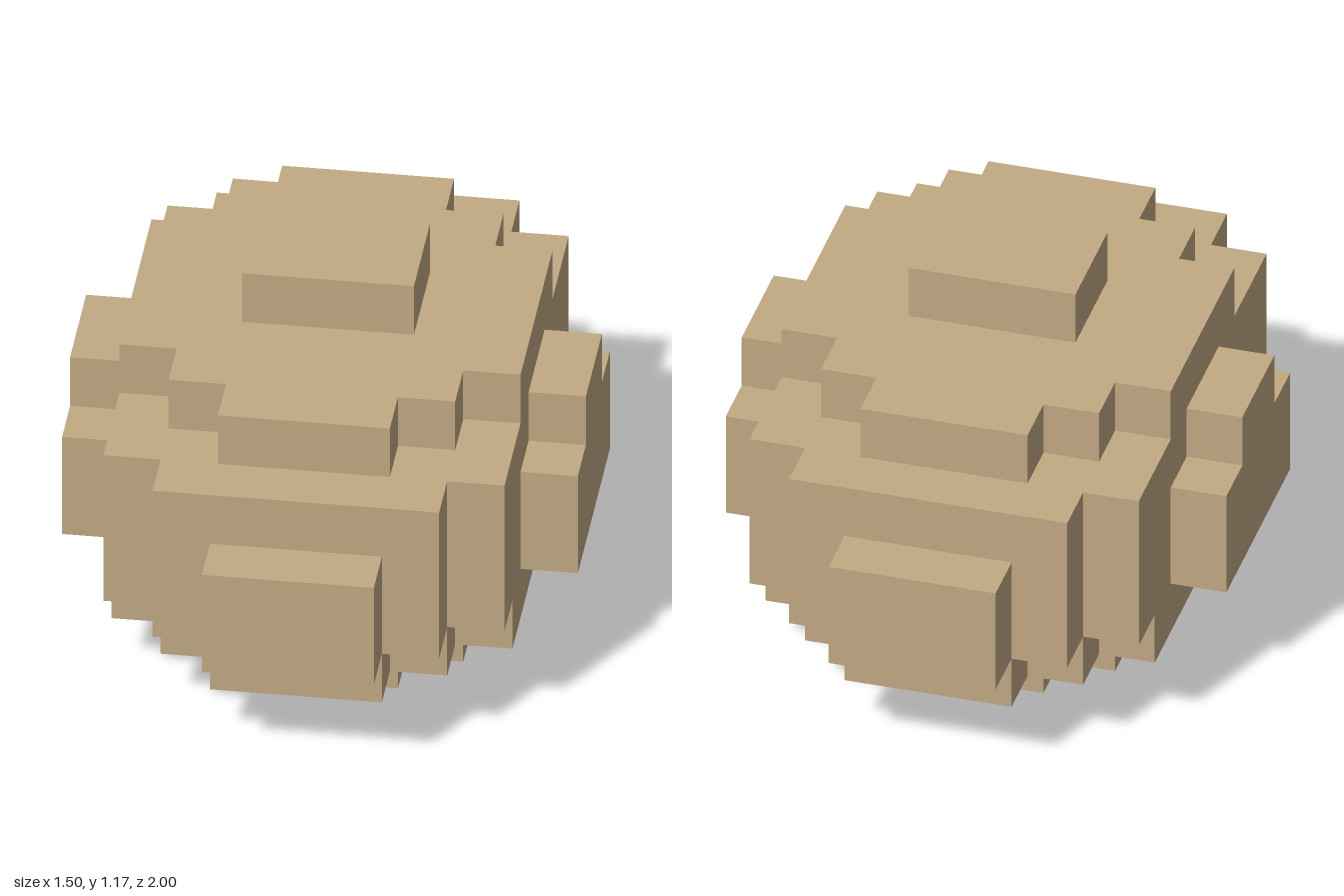
import * as THREE from 'three';

const U = 1 / 6; // edge length of one block

// Stepped outline, symmetric in x and z. Steps are [halfWidth, halfDepth], narrowest first.
function steppedShape(steps) {
  const quarter = [];
  steps.forEach(([w, d], i) => {
    if (i > 0) quarter.push([steps[i - 1][0], d]);
    quarter.push([w, d]);
  });
  const mirrored = (sx, sz) => quarter.map(([x, z]) => [x * sx, z * sz]);
  const outline = [
    ...mirrored(1, 1),
    ...mirrored(1, -1).reverse(),
    ...mirrored(-1, -1),
    ...mirrored(-1, 1).reverse(),
  ];
  return new THREE.Shape(outline.map(([x, z]) => new THREE.Vector2(x * U, z * U)));
}

export function createModel() {
  const model = new THREE.Group();
  model.name = 'blockyBoulder';

  const sand = new THREE.MeshStandardMaterial({ color: 0xc2ab84 });
  sand.name = 'sandyTan';

  // Horizontal slabs from bottom to top, in block units
  const layers = [
    { name: 'base', y: 0, height: 1, steps: [[1.5, 3], [2.5, 2]] },
    { name: 'lowerSlab', y: 1, height: 1, steps: [[1.5, 5], [2.5, 4], [3.5, 3]] },
    { name: 'middleSlab', y: 2, height: 2, steps: [[1.5, 6], [2.5, 5], [3.5, 4], [4.5, 2]] },
    { name: 'upperSlab', y: 4, height: 1, steps: [[2.5, 5], [3.5, 4], [4.5, 1]] },
    { name: 'crown', y: 5, height: 1, steps: [[1.5, 4], [2.5, 3], [3.5, 2]] },
    { name: 'topBlock', y: 6, height: 1, steps: [[1.5, 1]] },
  ];

  for (const { name, y, height, steps } of layers) {
    const geometry = new THREE.ExtrudeGeometry(steppedShape(steps), {
      depth: height * U,
      bevelEnabled: false,
    });
    geometry.rotateX(-Math.PI / 2); // extrude upwards
    const mesh = new THREE.Mesh(geometry, sand);
    mesh.name = name;
    mesh.position.y = y * U;
    model.add(mesh);
  }

  return model;
}
